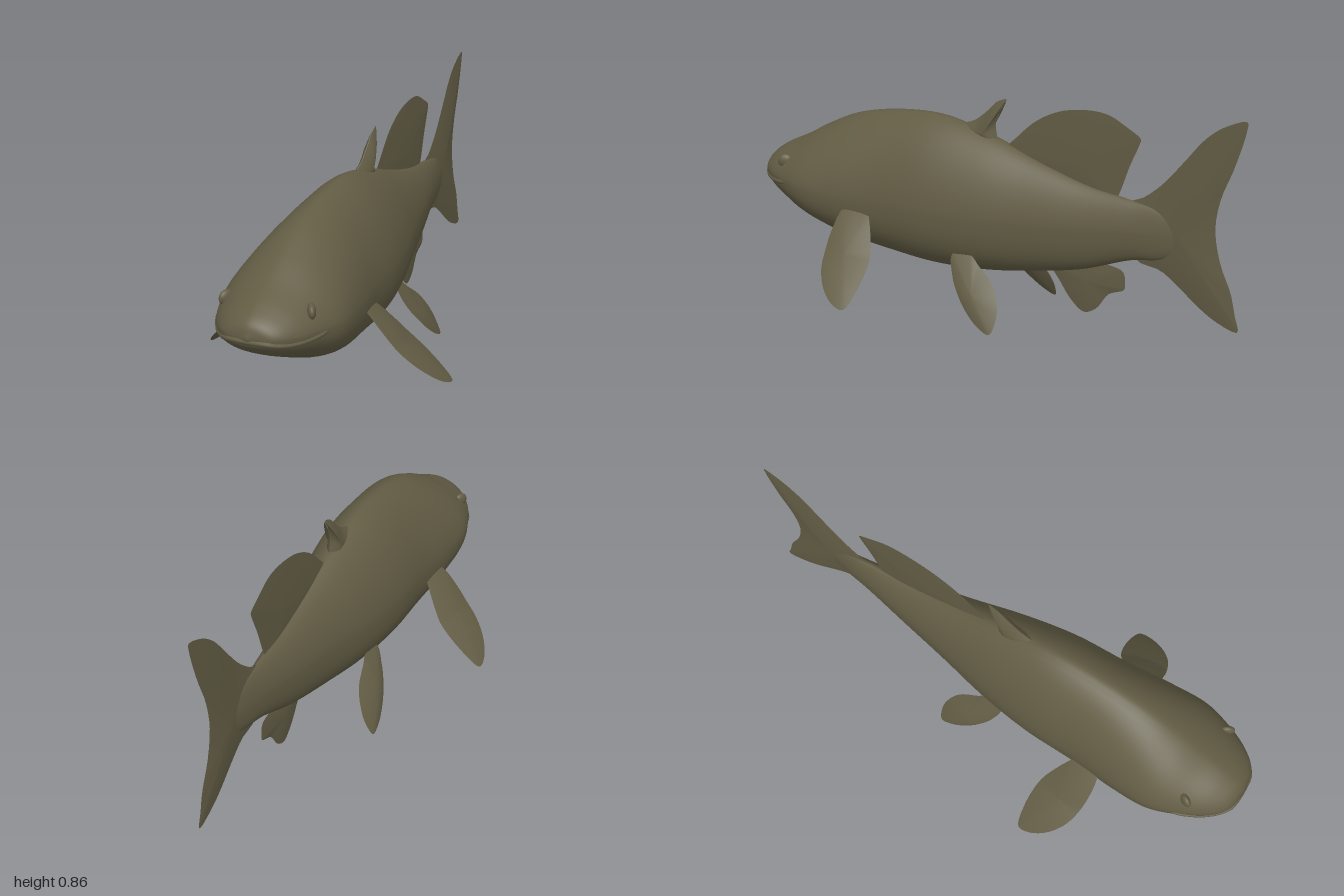
import * as THREE from 'three';

const skin = new THREE.MeshStandardMaterial({ color: 0x625c44 });
skin.name = 'olive skin';

// Body stations from nose to tail: z, top y, bottom y, half width, y of the widest point
const stations = [
  [1.0, 0.42, 0.41, 0, 0.415], [0.98, 0.465, 0.375, 0.085, 0.415], [0.92, 0.505, 0.332, 0.145, 0.41],
  [0.83, 0.548, 0.288, 0.19, 0.405], [0.72, 0.608, 0.24, 0.222, 0.395], [0.58, 0.668, 0.195, 0.218, 0.385],
  [0.4, 0.705, 0.166, 0.2, 0.38], [0.2, 0.712, 0.15, 0.19, 0.38], [0.0, 0.668, 0.158, 0.16, 0.38],
  [-0.2, 0.603, 0.188, 0.115, 0.385], [-0.4, 0.548, 0.233, 0.075, 0.395], [-0.58, 0.52, 0.3, 0.042, 0.41],
  [-0.7, 0.505, 0.325, 0.022, 0.415], [-0.8, 0.45, 0.38, 0.003, 0.415],
];
const heights = new THREE.CatmullRomCurve3(
  stations.map(([z, top, bottom]) => new THREE.Vector3(z, top, bottom)), false, 'catmullrom', 0.5);
const widths = new THREE.CatmullRomCurve3(
  stations.map(([z, , , w, mid]) => new THREE.Vector3(z, w, mid)), false, 'catmullrom', 0.5);
const TOP_POWER = 1.65, BOTTOM_POWER = 2.3;

function section(t) {
  const h = heights.getPoint(t), w = widths.getPoint(t);
  return { z: h.x, top: h.y, bottom: h.z, width: Math.max(w.y, 0), mid: w.z };
}

// Half width of the body surface at a given z and y
function surfaceX(z, y) {
  let a = 0, b = 1;
  for (let i = 0; i < 30; i++) {
    const m = (a + b) / 2;
    if (section(m).z > z) a = m; else b = m;
  }
  const s = section(a), upper = y > s.mid;
  const n = upper ? TOP_POWER : BOTTOM_POWER;
  const k = Math.min(1, Math.abs(y - s.mid) / (upper ? s.top - s.mid : s.mid - s.bottom));
  return s.width * Math.pow(1 - Math.pow(k, n), 1 / n);
}

function buildGeometry(positions, indices) {
  const g = new THREE.BufferGeometry();
  g.setAttribute('position', new THREE.Float32BufferAttribute(positions, 3));
  g.setIndex(indices);
  g.computeVertexNormals();
  return g;
}

function bodyGeometry(rings = 91, sides = 48) {
  const pos = [], idx = [];
  for (let i = 0; i < rings; i++) {
    const s = section(i / (rings - 1));
    for (let j = 0; j < sides; j++) {
      const a = (j / sides) * Math.PI * 2, c = Math.cos(a), v = Math.sin(a);
      const p = 2 / (v > 0 ? TOP_POWER : BOTTOM_POWER);
      const reach = v > 0 ? s.top - s.mid : s.bottom - s.mid;
      pos.push(s.width * Math.sign(c) * Math.abs(c) ** p, s.mid + reach * Math.abs(v) ** p, s.z);
      if (i < rings - 1) {
        const k = (j + 1) % sides, r = i * sides, q = r + sides;
        idx.push(r + j, q + j, r + k, q + j, q + k, r + k);
      }
    }
  }
  return buildGeometry(pos, idx);
}

// Lens-shaped fin: outline of [z, y] points swelling towards a centre; bend(y, z) gives the x of its midplane
function finGeometry(outline, centre, thickness, bend = () => 0, side = 1) {
  const curve = new THREE.CatmullRomCurve3(
    outline.map(([z, y]) => new THREE.Vector3(-z, y, 0)), true, 'centripetal');
  let pts = curve.getPoints(64).slice(0, 64).map((p) => new THREE.Vector2(p.x, p.y));
  if (THREE.ShapeUtils.area(pts) < 0) pts.reverse();
  const scales = [1, 0.85, 0.6, 0.3, 0.001], n = pts.length, pos = [], idx = [];
  for (const face of [1, -1]) {
    const start = pos.length / 3;
    scales.forEach((s, r) => pts.forEach((p, j) => {
      const z = centre[0] + (-p.x - centre[0]) * s;
      const y = centre[1] + (p.y - centre[1]) * s;
      pos.push(side * (bend(y, z) + face * (0.001 + thickness * (1 - s * s))), y, z);
      if (r === scales.length - 1) return;
      const a = start + r * n + j, b = start + r * n + (j + 1) % n, c = a + n, d = b + n;
      if (face * side > 0) idx.push(a, b, d, a, d, c);
      else idx.push(a, d, b, a, c, d);
    }));
  }
  return buildGeometry(pos, idx);
}

// Piecewise linear lookup through [y, x] pairs with y falling
function lookup(pairs, y) {
  let i = 0;
  while (i < pairs.length - 2 && y < pairs[i + 1][0]) i++;
  const [y0, x0] = pairs[i], [y1, x1] = pairs[i + 1];
  return x0 + ((y - y0) / (y1 - y0)) * (x1 - x0);
}

export function createModel() {
  const fish = new THREE.Group();
  fish.name = 'fish';
  const add = (name, geometry) => {
    const mesh = new THREE.Mesh(geometry, skin);
    mesh.name = name;
    fish.add(mesh);
    return mesh;
  };

  add('body', bodyGeometry());

  // Fins on the centre line
  add('frontDorsalFin', finGeometry([
    [0.13, 0.68], [0.06, 0.715], [0.01, 0.755], [-0.03, 0.793], [-0.07, 0.807],
    [-0.045, 0.765], [-0.025, 0.71], [-0.03, 0.63], [0.05, 0.62],
  ], [0.015, 0.67], 0.027));
  add('rearDorsalFin', finGeometry([
    [-0.07, 0.62], [-0.12, 0.68], [-0.2, 0.75], [-0.3, 0.798], [-0.42, 0.816], [-0.49, 0.808],
    [-0.55, 0.78], [-0.61, 0.743], [-0.608, 0.73], [-0.57, 0.64], [-0.53, 0.53], [-0.5, 0.48], [-0.12, 0.57],
  ], [-0.38, 0.62], 0.007));
  add('tailFin', finGeometry([
    [-0.56, 0.5], [-0.63, 0.54], [-0.7, 0.6], [-0.78, 0.695], [-0.85, 0.78], [-0.92, 0.833], [-0.998, 0.86],
    [-0.997, 0.83], [-0.96, 0.7], [-0.915, 0.58], [-0.9, 0.47], [-0.925, 0.35], [-0.965, 0.26], [-0.985, 0.18],
    [-0.998, 0.12], [-0.92, 0.14], [-0.85, 0.18], [-0.77, 0.24], [-0.7, 0.285], [-0.6, 0.31],
  ], [-0.76, 0.43], 0.012));
  add('analFin', finGeometry([
    [-0.26, 0.23], [-0.3, 0.165], [-0.35, 0.1], [-0.4, 0.067], [-0.45, 0.09], [-0.5, 0.155],
    [-0.56, 0.183], [-0.565, 0.2], [-0.555, 0.25], [-0.5, 0.265], [-0.4, 0.27],
  ], [-0.41, 0.19], 0.008));

  // Paired fins, eyes
  const pectoralLine = [[0.36, 0.165], [0.32, 0.205], [0.22, 0.29], [0.13, 0.39], [0.065, 0.458]];
  const pelvicLine = [[0.24, 0.115], [0.18, 0.143], [0.1, 0.187], [0.0, 0.236]];
  for (const [label, side] of [['left', 1], ['right', -1]]) {
    add(label + 'PectoralFin', finGeometry([
      [0.515, 0.36], [0.48, 0.375], [0.42, 0.35], [0.365, 0.275], [0.33, 0.2], [0.323, 0.12],
      [0.337, 0.067], [0.38, 0.072], [0.45, 0.115], [0.505, 0.185], [0.525, 0.28],
    ], [0.43, 0.22], 0.016, (y, z) => lookup(pectoralLine, y) + 0.2 * (z - 0.36), side));
    add(label + 'PelvicFin', finGeometry([
      [0.07, 0.24], [0.05, 0.17], [0.0, 0.1], [-0.05, 0.05], [-0.1, 0.015], [-0.145, 0.001],
      [-0.157, 0.05], [-0.147, 0.1], [-0.11, 0.16], [-0.04, 0.215], [0.0, 0.245],
    ], [-0.05, 0.12], 0.015, (y, z) => lookup(pelvicLine, y) + 0.15 * (z + 0.13), side));

    const eye = add(label + 'Eye', new THREE.SphereGeometry(0.027, 24, 16));
    eye.position.set(side * (surfaceX(0.835, 0.47) - 0.004), 0.47, 0.835);
    eye.rotation.y = side * 0.5;
    eye.scale.set(0.55, 1, 1.1);
  }

  // Upper lip wrapping around the snout
  const lip = [0.79, 0.83, 0.87, 0.91, 0.945, 0.97, 0.985].map((z, i) => {
    const y = 0.402 - 0.012 * Math.sin((i / 6) * Math.PI);
    return new THREE.Vector3(surfaceX(z, y) - 0.005, y, z);
  });
  lip[0].x -= 0.008;
  const lipPath = [...lip, new THREE.Vector3(0, 0.403, 0.991),
    ...lip.map((p) => new THREE.Vector3(-p.x, p.y, p.z)).reverse()];
  add('lip', new THREE.TubeGeometry(new THREE.CatmullRomCurve3(lipPath), 80, 0.009, 10));

  return fish;
}
